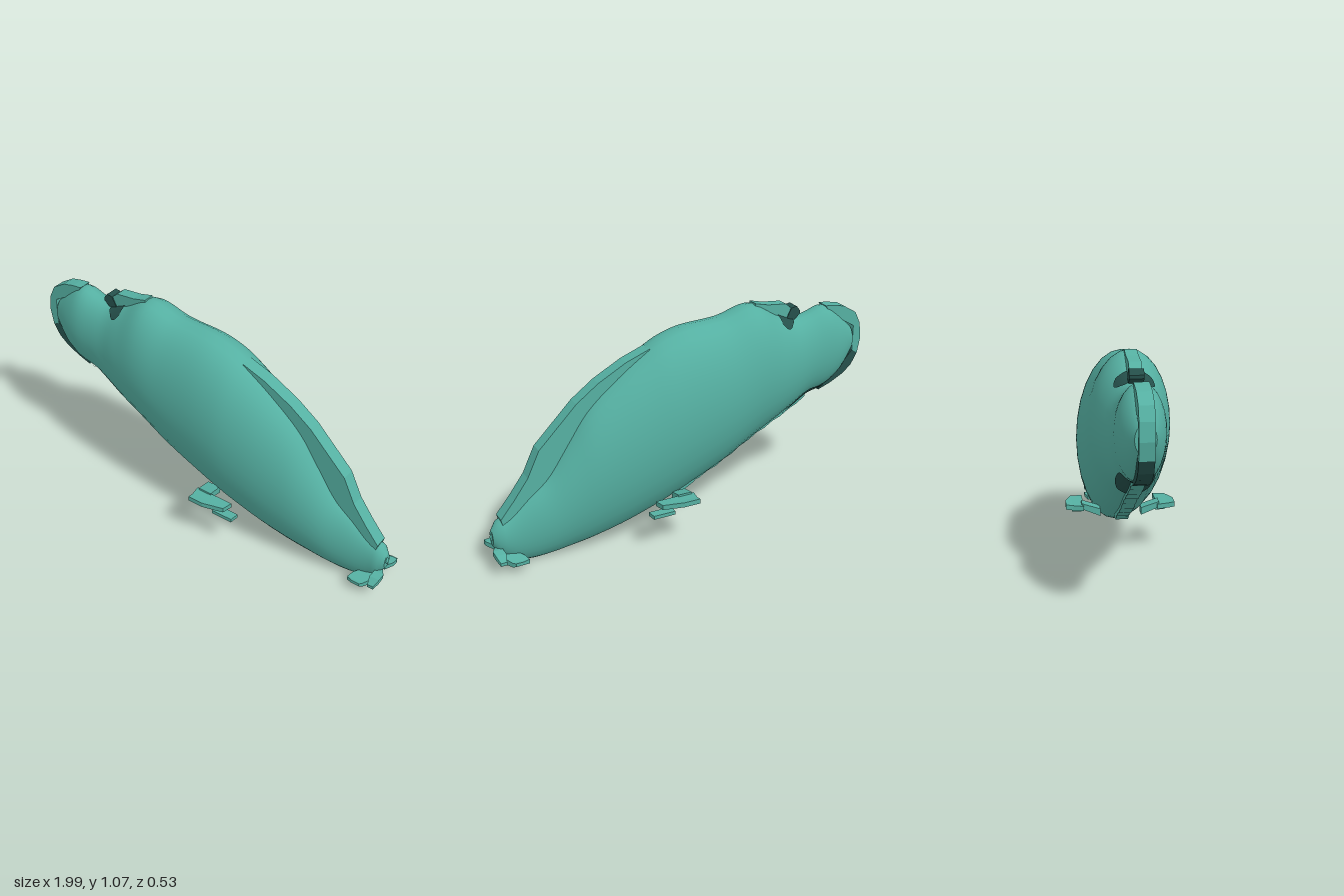
import * as THREE from 'three';

const teal = new THREE.MeshStandardMaterial({ color: 0x55b0a2 });
teal.name = 'teal';
const darkTeal = new THREE.MeshStandardMaterial({ color: 0x25504b });
darkTeal.name = 'dark teal';

// Hull stations: x, top y, bottom y, half width
const STATIONS = [
  [-0.945, 0.865, 0.73, 0.045], [-0.9, 0.91, 0.665, 0.07], [-0.85, 0.955, 0.615, 0.092],
  [-0.78, 0.998, 0.575, 0.108], [-0.68, 0.97, 0.55, 0.112], [-0.6, 0.962, 0.505, 0.122],
  [-0.5, 1.0, 0.455, 0.152], [-0.37, 1.068, 0.39, 0.18], [-0.2, 1.03, 0.295, 0.195],
  [0, 1.015, 0.205, 0.208], [0.12, 0.98, 0.155, 0.21], [0.2, 0.935, 0.125, 0.205],
  [0.35, 0.83, 0.075, 0.187], [0.5, 0.7, 0.038, 0.16], [0.6, 0.56, 0.022, 0.135],
  [0.7, 0.42, 0.008, 0.108], [0.8, 0.34, 0.002, 0.08], [0.88, 0.275, 0.018, 0.06],
  [0.93, 0.245, 0.05, 0.052], [0.965, 0.225, 0.08, 0.045], [0.98, 0.19, 0.115, 0.025],
];

// Smooth interpolation between stations
function station(x) {
  const S = STATIONS, n = S.length;
  let i = 0;
  while (i < n - 2 && x > S[i + 1][0]) i++;
  const dx = S[i + 1][0] - S[i][0], t = (x - S[i][0]) / dx;
  const slope = (k, c) => {
    const a = S[Math.max(k - 1, 0)], b = S[Math.min(k + 1, n - 1)];
    return (b[c] - a[c]) / (b[0] - a[0]);
  };
  return [1, 2, 3].map((c) =>
    S[i][c] * (1 + 2 * t) * (1 - t) ** 2 + slope(i, c) * dx * t * (1 - t) ** 2 +
    S[i + 1][c] * t * t * (3 - 2 * t) + slope(i + 1, c) * dx * t * t * (t - 1));
}

// Point on the hull; angle runs from the top towards +z
function hullPoint(x, angle, lift = 0) {
  const [top, bottom, w] = station(x);
  return [x, (top + bottom) / 2 + ((top - bottom) / 2 + lift) * Math.cos(angle), (w + lift) * Math.sin(angle)];
}

// Skin through equal-length rows of points; closed rows are wrapped and capped
function loft(rows, closed) {
  const m = rows[0].length, pos = rows.flat(2), idx = [];
  for (let i = 0; i < rows.length - 1; i++) {
    for (let j = 0; j < (closed ? m : m - 1); j++) {
      const k = (j + 1) % m, a = i * m + j, d = i * m + k;
      idx.push(a, d, d + m, a, d + m, a + m);
    }
  }
  if (closed) {
    [rows[0], rows[rows.length - 1]].forEach((row, end) => {
      const base = pos.length / 3;
      pos.push(...row.flat());
      for (let j = 1; j < m - 1; j++) {
        if (end) idx.push(base, base + j, base + j + 1);
        else idx.push(base, base + j + 1, base + j);
      }
    });
  }
  const g = new THREE.BufferGeometry();
  g.setAttribute('position', new THREE.Float32BufferAttribute(pos, 3));
  g.setIndex(idx);
  g.computeVertexNormals();
  return g;
}

function flat(geometry) {
  const g = geometry.toNonIndexed();
  g.computeVertexNormals();
  return g;
}

// Side outline in x, y given a width across z
function plate(points, halfWidth) {
  const shape = new THREE.Shape(points.map(([x, y]) => new THREE.Vector2(x, y)));
  const g = new THREE.ExtrudeGeometry(shape, { depth: halfWidth * 2, bevelEnabled: false });
  return g.translate(0, 0, -halfWidth);
}

// Thin painted patch over the hull, narrowing by the given half-angle rule
function patch(x0, x1, middle, halfAngle) {
  const rows = [];
  for (let i = 0; i <= 14; i++) {
    const x = x0 + ((x1 - x0) * i) / 14, h = halfAngle(i / 14), row = [];
    for (let j = 0; j <= 18; j++) row.push(hullPoint(x, middle + h * (j / 9 - 1), 0.005));
    rows.push(row);
  }
  return loft(rows, false);
}

// Slab lofted through points [x, y, z, halfX, halfY]
function slab(sections) {
  const rows = sections.map(([x, y, z, a, b]) =>
    [[x - a, y - b, z], [x + a, y - b, z], [x + a, y + b, z], [x - a, y + b, z]]);
  return flat(loft(rows, true));
}

export function createModel() {
  const model = new THREE.Group();
  const add = (name, geometry, material = teal, parent = model) => {
    const mesh = new THREE.Mesh(geometry, material);
    mesh.name = name;
    parent.add(mesh);
    return mesh;
  };

  // Hull
  const rows = [], N = 72, SEG = 28;
  for (let i = 0; i <= N; i++) {
    const x = -0.945 + (1.925 * i) / N;
    rows.push(Array.from({ length: SEG }, (_, j) => hullPoint(x, (j / SEG) * Math.PI * 2)));
  }
  add('hull', loft(rows, true));

  // Dorsal fin along the sloping back
  const finTop = [[0.18, 0.945], [0.3, 0.9], [0.44, 0.825], [0.55, 0.745], [0.65, 0.645], [0.74, 0.555], [0.8, 0.43], [0.87, 0.335], [0.94, 0.25]];
  const finBase = [[0.93, 0.21], [0.8, 0.29], [0.7, 0.37], [0.6, 0.5], [0.5, 0.64], [0.35, 0.78], [0.2, 0.89]];
  add('dorsalFin', plate([...finTop, ...finBase], 0.033));

  // Band arching around the blunt end, with a gap to the hull
  add('endBand', plate([
    [-0.78, 1.0], [-0.83, 0.995], [-0.89, 0.982], [-0.96, 0.94], [-0.99, 0.88], [-1.0, 0.8], [-0.985, 0.72],
    [-0.953, 0.72], [-0.953, 0.87], [-0.9, 0.9], [-0.8, 0.97]], 0.033));
  add('endBandLower', plate([
    [-0.985, 0.72], [-0.95, 0.66], [-0.9, 0.62], [-0.83, 0.585], [-0.76, 0.56],
    [-0.78, 0.6], [-0.87, 0.65], [-0.953, 0.74]], 0.033), darkTeal);

  // Cowl and dark saddle on top
  add('topCowl', plate([[-0.58, 1.02], [-0.55, 1.045], [-0.45, 1.055], [-0.38, 1.072], [-0.38, 1.04], [-0.5, 0.98], [-0.58, 0.96]], 0.028));
  add('cowlMouth', plate([[-0.63, 1.0], [-0.61, 1.025], [-0.58, 1.02], [-0.55, 0.96], [-0.6, 0.96], [-0.63, 0.985]], 0.032), darkTeal);
  add('topSaddle', patch(-0.59, -0.505, 0, (t) => 0.35 + 0.3 * Math.sin(t * Math.PI * 0.8)), darkTeal);

  // Dark patch beneath
  add('bellyPatch', patch(-0.79, -0.49, Math.PI, (t) => 0.2 + 0.55 * Math.sin(Math.PI * (0.1 + 0.75 * t))), darkTeal);

  // Narrow uneven keel
  const keelLow = [], keelHigh = [];
  for (let i = 0; i <= 16; i++) {
    const x = -0.68 + i * 0.046, b = station(x)[1];
    keelLow.push([x, b - 0.012 - 0.006 * (i % 2)]);
    keelHigh.unshift([x, b + 0.03]);
  }
  add('keel', plate([...keelLow, ...keelHigh], 0.03));
  add('keelFoot', plate([[-0.08, 0.24], [-0.05, 0.205], [0, 0.178], [0.06, 0.19], [0.05, 0.22]], 0.03));

  for (const side of [1, -1]) {
    const half = new THREE.Group();
    half.name = side > 0 ? 'frontSide' : 'backSide';
    // Belly vane: strut, sloping pad and trailing tip
    const pieces = {
      vaneStrut: slab([[0.07, 0.205, 0.1, 0.035, 0.018], [0.08, 0.235, 0.19, 0.035, 0.014]]),
      vanePad: slab([[0.13, 0.227, 0.18, 0.1, 0.012], [0.13, 0.23, 0.235, 0.09, 0.012], [0.08, 0.235, 0.267, 0.04, 0.012]]),
      vaneTip: slab([[0.21, 0.185, 0.185, 0.06, 0.009], [0.21, 0.185, 0.232, 0.055, 0.009]]),
      // Tail blades: upper aft petal and lower forward petal
      upperBlade: slab([[0.95, 0.095, 0.01, 0.02, 0.012], [0.97, 0.1, 0.05, 0.024, 0.011], [0.967, 0.092, 0.085, 0.025, 0.012], [0.965, 0.07, 0.115, 0.015, 0.008]]),
      lowerBlade: slab([[0.92, 0.06, 0.02, 0.03, 0.015], [0.895, 0.05, 0.07, 0.045, 0.014], [0.88, 0.046, 0.105, 0.04, 0.011], [0.89, 0.052, 0.12, 0.02, 0.008]]),
    };
    for (const [name, geometry] of Object.entries(pieces)) {
      if (side < 0) {
        // Mirror across z and restore the winding
        const p = geometry.attributes.position;
        for (let i = 0; i < p.count; i += 3) {
          const a = new THREE.Vector3().fromBufferAttribute(p, i + 1);
          const b = new THREE.Vector3().fromBufferAttribute(p, i + 2);
          p.setXYZ(i + 1, b.x, b.y, b.z);
          p.setXYZ(i + 2, a.x, a.y, a.z);
        }
        geometry.scale(1, 1, -1);
        geometry.computeVertexNormals();
      }
      add(name, geometry, teal, half);
    }
    model.add(half);
  }

  // Small tail nozzle
  const nozzle = add('tailNozzle', new THREE.SphereGeometry(1, 12, 8));
  nozzle.scale.set(0.008, 0.018, 0.011);
  nozzle.position.set(0.98, 0.155, 0);
  return model;
}
